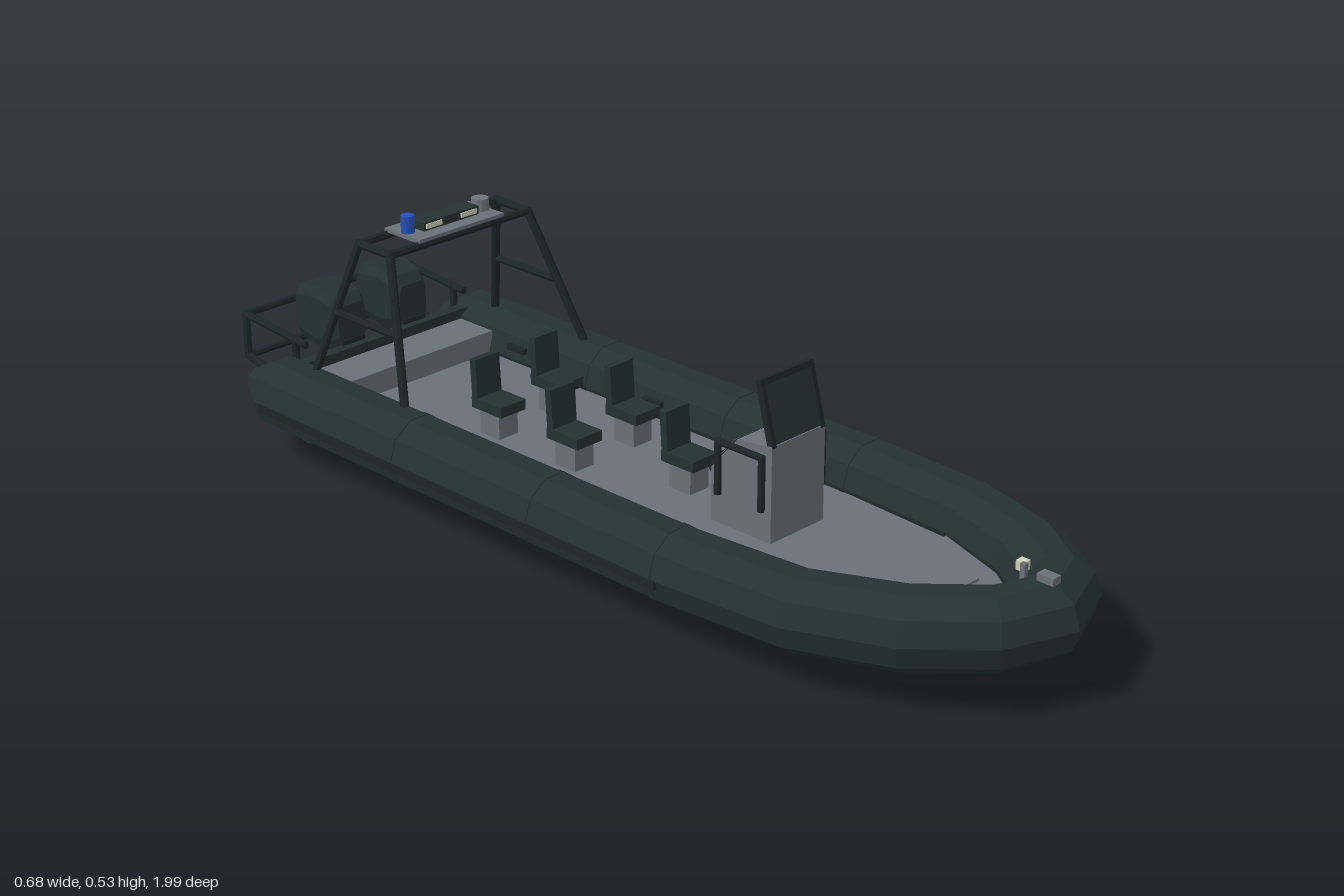
import * as THREE from 'three';

const mat = (name, color) => {
  const m = new THREE.MeshStandardMaterial({ color, flatShading: true });
  m.name = name;
  return m;
};

export function createModel() {
  const boat = new THREE.Group();
  boat.name = 'inflatableBoat';
  const green = mat('darkGreen', 0x243231);
  const hullMat = mat('hullBlack', 0x1b2324);
  const black = mat('frameBlack', 0x1c2526);
  const grey = mat('deckGrey', 0x6a7079);
  const pale = mat('paleGrey', 0x8b9295);
  const cream = mat('lampCream', 0xcfd0b4);
  const blue = mat('beaconBlue', 0x2450b4);

  const add = (name, geo, m, x = 0, y = 0, z = 0, parent = boat) => {
    const mesh = new THREE.Mesh(geo, m);
    mesh.name = name;
    mesh.position.set(x, y, z);
    parent.add(mesh);
    return mesh;
  };
  const box = (name, m, w, h, d, x, y, z, parent) =>
    add(name, new THREE.BoxGeometry(w, h, d), m, x, y, z, parent);
  const group = (name, x = 0, y = 0, z = 0) => {
    const g = new THREE.Group();
    g.name = name;
    g.position.set(x, y, z);
    boat.add(g);
    return g;
  };
  // Round bar between two points
  const bar = (name, a, b, r, parent, m = black) => {
    const p = new THREE.Vector3(...a), q = new THREE.Vector3(...b);
    const d = q.clone().sub(p);
    const mesh = add(name, new THREE.CylinderGeometry(r, r, d.length() + r, 8), m, 0, 0, 0, parent);
    mesh.position.copy(p).add(q).multiplyScalar(0.5);
    mesh.quaternion.setFromUnitVectors(new THREE.Vector3(0, 1, 0), d.normalize());
  };
  // Skin over a row of cross-sections, capped at both ends
  const loft = (rings) => {
    const n = rings[0].length, last = (rings.length - 1) * n, idx = [];
    for (let i = 0; i < rings.length - 1; i++) {
      for (let j = 0; j < n; j++) {
        const a = i * n + j, b = i * n + (j + 1) % n;
        idx.push(a, b, b + n, a, b + n, a + n);
      }
    }
    for (let j = 1; j < n - 1; j++) idx.push(0, j + 1, j, last, last + j, last + j + 1);
    const g = new THREE.BufferGeometry();
    g.setAttribute('position', new THREE.Float32BufferAttribute(rings.flat(2), 3));
    g.setIndex(idx);
    g.computeVertexNormals();
    return g;
  };
  // Side profile given as [z, y], extruded across x
  const sideExtrude = (pts, w) => {
    const g = new THREE.ExtrudeGeometry(new THREE.Shape(pts.map(([z, y]) => new THREE.Vector2(-z, y))),
      { depth: w, bevelEnabled: false });
    return g.translate(0, 0, -w / 2).rotateY(Math.PI / 2);
  };
  // Flat plan given as half outline [x, z], extruded upwards
  const plan = (half, h) => {
    const pts = [...half, ...half.slice().reverse().map(([x, z]) => [-x, z])];
    const s = new THREE.Shape(pts.map(([x, z]) => new THREE.Vector2(x, -z)));
    return new THREE.ExtrudeGeometry(s, { depth: h, bevelEnabled: false }).rotateX(-Math.PI / 2);
  };

  // Buoyancy tube: x, y, z, radius from the left stern to the bow, then mirrored
  const half = [[0.262, 0.14, -0.9, 0.032], [0.262, 0.14, -0.82, 0.076], [0.262, 0.14, 0.32, 0.076],
    [0.243, 0.143, 0.58, 0.076], [0.178, 0.152, 0.76, 0.077], [0.09, 0.161, 0.88, 0.076]];
  const path = [...half, [0, 0.164, 0.918, 0.075], ...half.slice().reverse().map(([x, ...r]) => [-x, ...r])];
  const rings = path.map(([x, y, z, r], i) => {
    const p = path[Math.max(i - 1, 0)], q = path[Math.min(i + 1, path.length - 1)];
    const t = new THREE.Vector2(q[0] - p[0], q[2] - p[2]).normalize();
    return Array.from({ length: 10 }, (_, j) => {
      const a = j * Math.PI / 5, c = r * Math.cos(a);
      return [x + t.y * c, y + r * Math.sin(a), z - t.x * c];
    });
  });
  add('buoyancyTube', loft(rings), green);

  // Seam bands, rubbing strakes and grab handles on both tubes
  for (const s of [-1, 1]) {
    for (const z of [0.3, -0.02, -0.4]) {
      const band = add('seamBand', new THREE.CylinderGeometry(0.0775, 0.0775, 0.012, 10), green, s * 0.262, 0.14, z);
      band.rotation.set(Math.PI / 2, Math.PI / 10, 0, 'XYZ');
    }
    box('rubbingStrake', black, 0.012, 0.018, 1.12, s * 0.335, 0.132, -0.24);
    for (const z of [-0.6, -0.2, 0.2]) box('grabHandle', black, 0.012, 0.012, 0.05, s * 0.187, 0.165, z);
  }

  // V-shaped hull: z, keel height, chine x and y, top x and y
  const hull = [[-0.8, 0.005, 0.19, 0.05, 0.215, 0.12], [0.3, 0.005, 0.19, 0.05, 0.215, 0.12],
    [0.6, 0.035, 0.16, 0.07, 0.195, 0.125], [0.77, 0.067, 0.1, 0.092, 0.13, 0.128],
    [0.87, 0.098, 0.025, 0.108, 0.04, 0.128]];
  add('hull', loft(hull.map(([z, k, cx, cy, tx, ty]) =>
    [[0, k, z], [cx, cy, z], [tx, ty, z], [-tx, ty, z], [-cx, cy, z]])), hullMat);
  for (const s of [-1, 1]) box('hullStrake', hullMat, 0.008, 0.016, 0.95, s * 0.085, 0.022, -0.27);
  box('transom', green, 0.45, 0.18, 0.025, 0, 0.11, -0.8);

  // Decks, bow hatch and stern bench
  add('deck', plan([[0.21, -0.79], [0.21, 0.4], [0.19, 0.6], [0.12, 0.77], [0.05, 0.86]], 0.01), grey, 0, 0.122, 0);
  add('bowDeck', plan([[0.19, 0.57], [0.185, 0.61], [0.12, 0.77], [0.05, 0.86]], 0.008), grey, 0, 0.131, 0);
  box('bowHatch', grey, 0.135, 0.006, 0.1, 0, 0.141, 0.675);
  box('sternBench', grey, 0.39, 0.05, 0.1, 0, 0.155, -0.735);

  // Bow cleat and lamp
  box('bowCleat', grey, 0.022, 0.014, 0.035, -0.004, 0.243, 0.925);
  box('bowCleatPost', grey, 0.01, 0.03, 0.01, 0, 0.235, 0.87);
  box('bowLamp', cream, 0.018, 0.018, 0.018, 0.01, 0.24, 0.86);

  // Steering console
  const consoleGroup = group('console');
  add('consoleBody', sideExtrude([[0.355, 0.13], [0.355, 0.325], [0.27, 0.315], [0.205, 0.24], [0.205, 0.13]], 0.145),
    grey, 0, 0, 0, consoleGroup);
  const slope = Math.atan2(0.075, 0.065);
  for (const s of [-1, 1]) {
    const frame = box('instrumentFrame', black, 0.062, 0.006, 0.076, s * 0.034, 0.279, 0.237, consoleGroup);
    const face = box('instrumentFace', pale, 0.052, 0.009, 0.062, s * 0.034, 0.28, 0.237, consoleGroup);
    frame.rotation.x = face.rotation.x = -slope;
    const c = [[0.34, 0.2], [0.34, 0.303], [0.232, 0.303], [0.232, 0.2]].map(([z, y]) => [s * 0.083, y, z]);
    for (let i = 0; i < 3; i++) bar('consoleRail', c[i], c[i + 1], 0.007, consoleGroup);
  }
  const wheel = add('steeringWheel', new THREE.TorusGeometry(0.03, 0.006, 6, 14), black, 0, 0.222, 0.172, consoleGroup);
  wheel.rotation.x = 0.6;
  bar('steeringColumn', [0, 0.222, 0.172], [0, 0.205, 0.21], 0.009, consoleGroup);
  bar('wheelSpoke', [-0.028, 0.222, 0.172], [0.028, 0.222, 0.172], 0.005, consoleGroup);

  // Windscreen, leaning aft
  const screen = group('windscreen', 0, 0.32, 0.35);
  screen.rotation.x = -0.26;
  box('windscreenPane', green, 0.125, 0.12, 0.006, 0, 0.06, 0, screen);
  for (const s of [-1, 1]) box('windscreenPost', black, 0.01, 0.128, 0.014, s * 0.066, 0.064, 0, screen);
  box('windscreenTop', black, 0.14, 0.012, 0.014, 0, 0.123, 0, screen);

  // Five seats on pedestals
  for (const [x, z] of [[0, 0.08], [0.08, -0.15], [-0.08, -0.15], [0.08, -0.365], [-0.08, -0.365]]) {
    const seat = group('seat', x, 0.13, z);
    box('seatPedestal', grey, 0.05, 0.056, 0.055, 0, 0.028, 0, seat);
    box('seatCushion', green, 0.066, 0.022, 0.085, 0, 0.066, 0, seat);
    const back = box('seatBack', green, 0.064, 0.09, 0.016, 0, 0.112, -0.036, seat);
    back.rotation.x = -0.06;
  }

  // Light arch
  const arch = group('lightArch');
  const foot = (s, z) => [s * 0.246, 0.205, z], head = (s, z) => [s * 0.184, 0.485, z];
  for (const s of [-1, 1]) {
    bar('archLeg', foot(s, -0.455), head(s, -0.555), 0.009, arch);
    bar('archLeg', foot(s, -0.73), head(s, -0.65), 0.009, arch);
    bar('archBrace', [s * 0.217, 0.338, -0.502], [s * 0.217, 0.338, -0.692], 0.008, arch);
    bar('archSide', head(s, -0.555), head(s, -0.65), 0.009, arch);
  }
  for (const z of [-0.555, -0.65]) bar('archTop', head(-1, z), head(1, z), 0.009, arch);
  box('lightPlatform', grey, 0.226, 0.008, 0.105, 0, 0.495, -0.602, arch);
  box('lightBar', green, 0.146, 0.018, 0.042, 0, 0.508, -0.602, arch);
  for (const s of [-1, 1]) for (const d of [-1, 1])
    box('lightBarLens', cream, 0.042, 0.01, 0.004, s * 0.046, 0.508, -0.602 + d * 0.021, arch);
  add('blueBeacon', new THREE.CylinderGeometry(0.014, 0.014, 0.036, 12), blue, -0.097, 0.517, -0.602, arch);
  add('radioDome', new THREE.CylinderGeometry(0.018, 0.02, 0.025, 12), grey, 0.096, 0.511, -0.602, arch);

  // Stern guard rail
  const rail = group('sternRail');
  for (const s of [-1, 1]) {
    const c = [[0.235, -0.8], [0.25, -0.992], [0.157, -0.992], [0.132, -0.87]].map(([y, z]) => [s * 0.216, y, z]);
    for (let i = 0; i < 3; i++) bar('railSide', c[i], c[i + 1], 0.008, rail);
    bar('railPost', [s * 0.216, 0.16, -0.83], [s * 0.216, 0.238, -0.83], 0.008, rail);
  }
  for (const y of [0.25, 0.157]) bar('railCross', [-0.216, y, -0.992], [0.216, y, -0.992], 0.008, rail);

  // Twin outboard engines: cowl sections are z, half width, bottom, top
  const cowl = [[-0.958, 0.028, 0.215, 0.285], [-0.93, 0.047, 0.195, 0.308], [-0.87, 0.048, 0.185, 0.316],
    [-0.825, 0.044, 0.19, 0.305], [-0.808, 0.036, 0.2, 0.285]];
  for (const s of [-1, 1]) {
    const engine = group('outboardEngine', s * 0.083, 0, 0);
    add('engineCowl', loft(cowl.map(([z, w, b, t]) => [[-w * 0.8, b, z], [w * 0.8, b, z], [w, b + 0.02, z],
      [w, t - 0.02, z], [w * 0.75, t, z], [-w * 0.75, t, z], [-w, t - 0.02, z], [-w, b + 0.02, z]])),
    green, 0, 0, 0, engine);
    box('engineBracket', black, 0.06, 0.08, 0.04, 0, 0.17, -0.825, engine);
    add('engineLeg', sideExtrude([[-0.835, 0.2], [-0.905, 0.2], [-0.885, 0.05], [-0.84, 0.05]], 0.03),
      black, 0, 0, 0, engine);
    box('cavitationPlate', black, 0.06, 0.008, 0.1, 0, 0.072, -0.88, engine);
    const gear = add('gearcase', new THREE.CylinderGeometry(0.013, 0.017, 0.1, 8), black, 0, 0.05, -0.885, engine);
    gear.rotation.x = Math.PI / 2;
    add('skeg', sideExtrude([[-0.85, 0.045], [-0.9, 0.045], [-0.895, 0.018], [-0.875, 0.018]], 0.008),
      black, 0, 0, 0, engine);
    for (let i = 0; i < 3; i++) {
      const blade = box('propellerBlade', black, 0.02, 0.054, 0.006, 0, 0.05, -0.935, engine);
      blade.rotation.z = i * Math.PI / 3;
    }
  }
  return boat;
}
